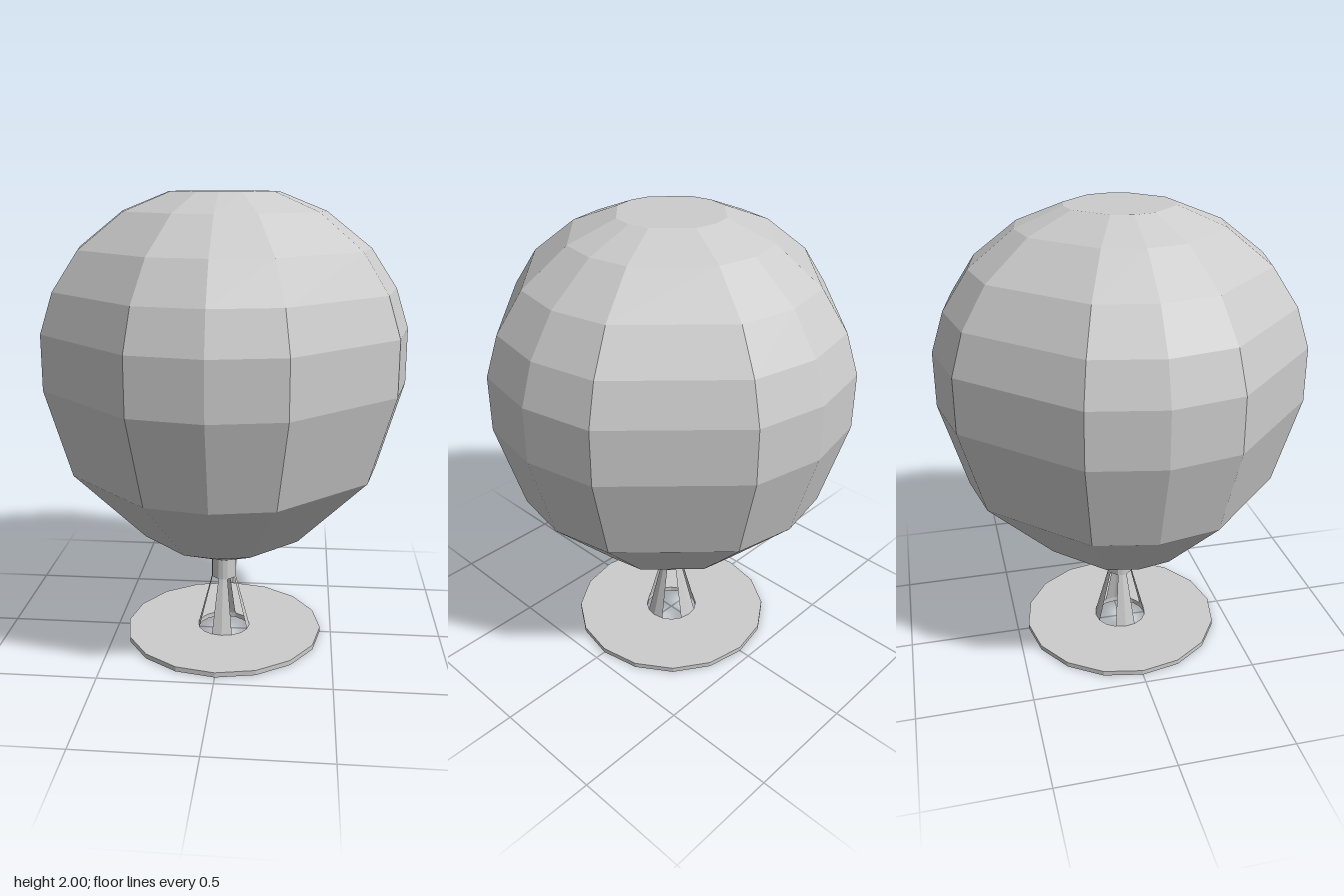
import * as THREE from 'three';

const rad = THREE.MathUtils.degToRad;

// Sweeps a profile of [radius, y] points (bottom to top) through a list of angles in degrees.
function sweep(profile, angles) {
  const pos = [];
  const point = ([r, y], deg) => [r * Math.sin(rad(deg)), y, r * Math.cos(rad(deg))];
  for (let j = 0; j < profile.length - 1; j++) {
    const lo = profile[j], hi = profile[j + 1];
    for (let i = 0; i < angles.length - 1; i++) {
      const a = point(lo, angles[i]), b = point(lo, angles[i + 1]);
      const c = point(hi, angles[i + 1]), d = point(hi, angles[i]);
      if (lo[0] > 0) pos.push(...a, ...b, ...c);
      if (hi[0] > 0) pos.push(...a, ...c, ...d);
      else if (lo[0] > 0) continue;
    }
  }
  const g = new THREE.BufferGeometry();
  g.setAttribute('position', new THREE.Float32BufferAttribute(pos, 3));
  g.computeVertexNormals();
  return g;
}

export function createModel() {
  const model = new THREE.Group();
  const solid = new THREE.MeshStandardMaterial({ color: 0xcccccc, flatShading: true });
  const thin = new THREE.MeshStandardMaterial({ color: 0xcccccc, flatShading: true, side: THREE.DoubleSide });
  const add = (name, geometry, material) => {
    const mesh = new THREE.Mesh(geometry, material);
    mesh.name = name;
    model.add(mesh);
    return mesh;
  };

  // Twelve-sided ring: narrow facets around each axis, wide ones on the diagonals
  const ring = [];
  for (let k = 0; k < 4; k++) ring.push(90 * k - 22.5, 90 * k, 90 * k + 22.5);
  ring.push(337.5);

  // Balloon-shaped crown with a flat top
  add('crown', sweep([
    [0.055, 0.365], [0.365, 0.505], [0.675, 0.82], [0.785, 1.2], [0.785, 1.435],
    [0.73, 1.605], [0.62, 1.77], [0.43, 1.92], [0.23, 2], [0, 2],
  ], ring), solid);

  // Hollow neck
  add('neck', sweep([[0.055, 0.27], [0.055, 0.365]], ring), thin);

  // Four flared legs running from the neck to the base
  for (let k = 0; k < 4; k++) {
    const leg = add('leg', sweep([[0.12, 0.022], [0.055, 0.27]], [-22.5, 0, 22.5]), thin);
    leg.rotation.y = k * Math.PI / 2;
  }

  // Flat sixteen-sided base disc with a round hole
  const sixteen = Array.from({ length: 17 }, (_, i) => i * 22.5);
  add('base', sweep([
    [0.12, 0], [0.45, 0], [0.45, 0.022], [0.12, 0.022], [0.12, 0],
  ], sixteen), solid);

  return model;
}
